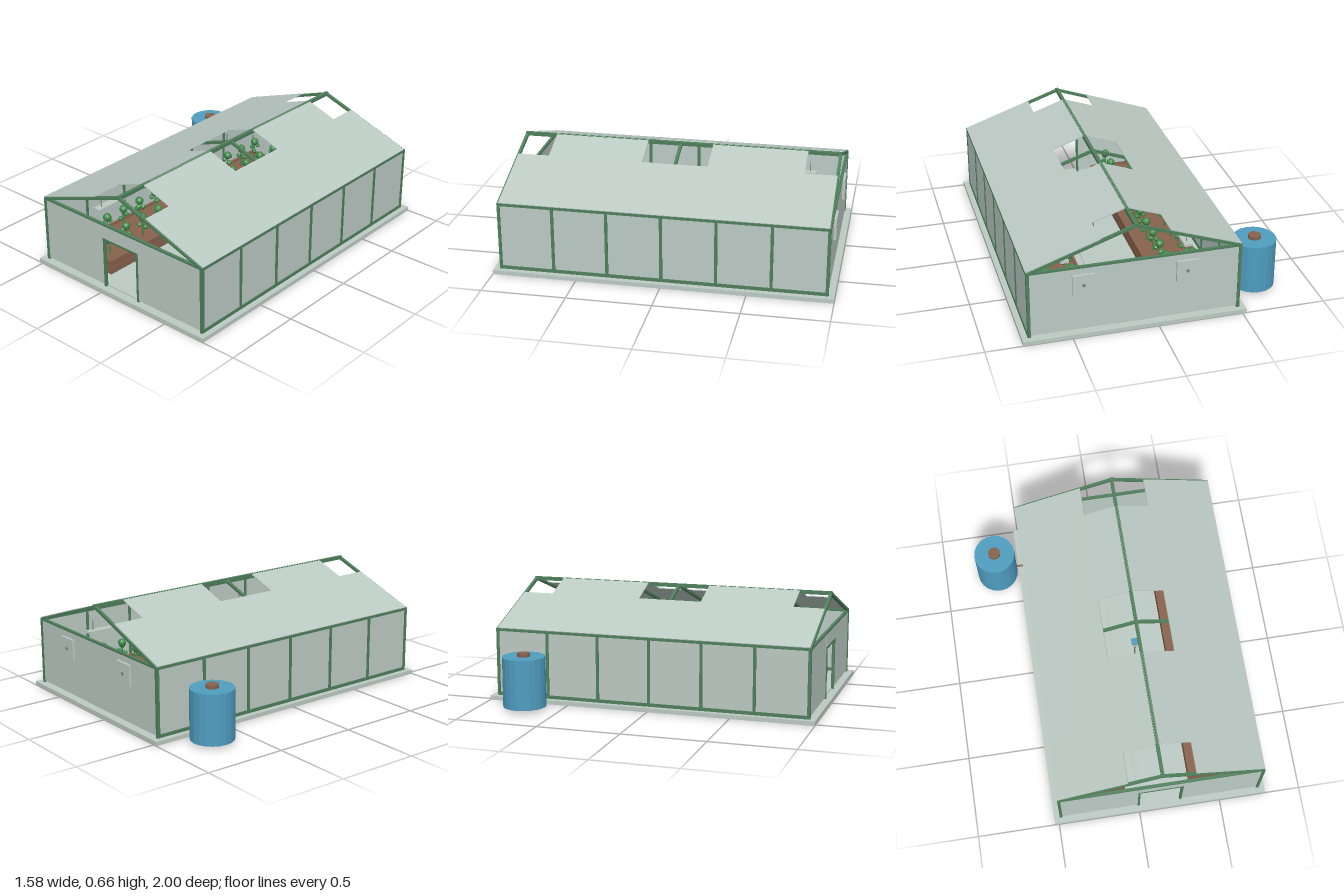
import * as THREE from 'three';

const mat = (name, color, extra = {}) => {
  const m = new THREE.MeshStandardMaterial({ color, ...extra });
  m.name = name;
  return m;
};

export function createModel() {
  const pale = mat('pale glass and concrete', 0xbccac4);
  const green = mat('frame green', 0x4f7f5b);
  const blue = mat('tank blue', 0x4f9dc0, { flatShading: true });
  const brown = mat('earth brown', 0x87624c);
  const leaf = mat('leaf green', 0x3f8a4a, { flatShading: true });
  const grey = mat('metal grey', 0x7d8884);

  const model = new THREE.Group();
  model.name = 'greenhouse';
  const house = new THREE.Group(); // centred on its own ridge line
  house.name = 'house';
  house.position.x = 0.13;
  model.add(house);

  const add = (name, geo, m, x, y, z, parent = house) => {
    const mesh = new THREE.Mesh(geo, m);
    mesh.name = name;
    mesh.position.set(x, y, z);
    parent.add(mesh);
    return mesh;
  };
  // box given by its limits on each axis
  const box = (name, m, x0, x1, y0, y1, z0, z1, parent = house) =>
    add(name, new THREE.BoxGeometry(x1 - x0, y1 - y0, z1 - z0), m,
      (x0 + x1) / 2, (y0 + y1) / 2, (z0 + z1) / 2, parent);

  const W = 0.612, L = 0.957, FLOOR = 0.025, EAVE = 0.433, RIDGE = 0.647, T = 0.009;
  const bays = [-3, -2, -1, 0, 1, 2, 3].map(i => i * L / 3);
  const slope = Math.atan2(RIDGE - EAVE, W);

  // foundation and path
  box('foundation', pale, -0.655, 0.655, 0, FLOOR, -1, 1);
  box('path', pale, -0.125, 0.125, FLOOR, 0.032, -0.95, 0.95);

  // side walls: posts, rails and glass
  for (const s of [-1, 1]) {
    const x = s * W;
    for (const z of bays) box('sidePost', green, x - T, x + T, FLOOR, EAVE, z - T, z + T);
    box('sillRail', green, x - T, x + T, FLOOR, 0.045, -L, L);
    box('eaveRail', green, x - T, x + T, EAVE - 0.009, EAVE + 0.007, -L - T, L + T);
    box('sideGlass', pale, x - 0.004, x + 0.004, 0.04, EAVE, -L, L);
  }

  // end walls: tie beams, back glass, front glass either side of the door
  for (const z of [-L, L]) box('tieBeam', green, -W, W, EAVE - 0.006, EAVE + 0.006, z - T, z + T);
  box('backGlass', pale, -W, W, 0.035, EAVE, -L - 0.004, -L + 0.004);
  for (const s of [-1, 1]) {
    const a = s * 0.13, b = s * W;
    box('frontGlass', pale, Math.min(a, b), Math.max(a, b), 0.035, EAVE, L - 0.004, L + 0.004);
    box('doorPost', green, a - 0.006, a + 0.006, FLOOR, 0.343, L - T, L + T);
  }
  box('doorHeader', green, -0.136, 0.136, 0.333, 0.345, L - T, L + T);
  box('transomGlass', pale, -0.133, 0.133, 0.345, 0.425, L - 0.006, L + 0.006);

  // roof slope pieces are measured from the ridge outwards
  const roofPiece = (name, m, s, d0, d1, lift, thick, z0, z1) => {
    const mid = (d0 + d1) / 2;
    const mesh = add(name, new THREE.BoxGeometry((d1 - d0) / Math.cos(slope), thick, z1 - z0), m,
      s * mid, RIDGE - mid * Math.tan(slope) + lift, (z0 + z1) / 2);
    mesh.rotation.z = -s * slope;
  };
  for (const s of [-1, 1]) {
    for (const z of bays) roofPiece('rafter', green, s, 0, W + 0.006, 0, 0.016, z - T, z + T);
    roofPiece('lowerRoofGlass', pale, s, 0.2, W + 0.008, 0.011, 0.006, -L, L);
    for (const c of [-1, 1]) {
      const z0 = c < 0 ? -0.768 : 0.197;
      roofPiece('upperRoofGlass', pale, s, 0.004, 0.2, 0.011, 0.006, z0, z0 + 0.571);
    }
  }
  box('ridgeBeam', green, -0.01, 0.01, RIDGE - 0.01, RIDGE + 0.012, -L - T, L + T);

  // planting beds with crops and hanging lamps
  const stemGeo = new THREE.CylinderGeometry(0.004, 0.005, 0.12, 6);
  const bigLeaf = new THREE.IcosahedronGeometry(0.026, 1);
  const smallLeaf = new THREE.IcosahedronGeometry(0.016, 0);
  for (const s of [-1, 1]) {
    const bed = new THREE.Group();
    bed.name = 'plantingBed';
    bed.position.x = s * 0.363;
    house.add(bed);
    for (const e of [-1, 1]) {
      for (const y of [FLOOR, 0.07])
        box('bedBoard', brown, e * 0.158 - 0.008, e * 0.158 + 0.008, y, y + 0.042, -0.85, 0.85, bed);
      box('bedEnd', brown, -0.16, 0.16, FLOOR, 0.112, e * 0.842 - 0.008, e * 0.842 + 0.008, bed);
    }
    box('soil', brown, -0.152, 0.152, FLOOR, 0.1, -0.84, 0.84, bed);
    for (let i = 0; i < 12; i++) {
      for (const r of [-1, 1]) {
        const plant = new THREE.Group();
        plant.name = 'plant';
        plant.position.set(r * 0.08, 0.1, -0.77 + i * 0.14);
        plant.rotation.y = i * 1.3 + r;
        bed.add(plant);
        add('stem', stemGeo, leaf, 0, 0.06, 0, plant);
        add('crown', bigLeaf, leaf, 0, 0.13, 0, plant);
        for (let k = 0; k < 3; k++) {
          const a = k * Math.PI * 2 / 3;
          add('leaf', smallLeaf, leaf, 0.022 * Math.cos(a), 0.07 + 0.015 * k, 0.022 * Math.sin(a), plant);
        }
      }
    }
    for (const z of [-0.57, 0.57]) {
      box('growLamp', pale, -0.025, 0.025, 0.365, 0.38, z - 0.22, z + 0.22, bed);
      for (const e of [-0.18, 0.18])
        box('lampHanger', grey, -0.002, 0.002, 0.38, 0.45, z + e - 0.002, z + e + 0.002, bed);
    }
  }

  // climate sensor on a post
  add('sensorPost', new THREE.CylinderGeometry(0.005, 0.005, 0.23, 8), grey, 0, 0.14, 0);
  box('sensorBox', pale, -0.018, 0.018, 0.25, 0.298, -0.015, 0.015);
  box('sensorCap', blue, -0.023, 0.023, 0.298, 0.313, -0.02, 0.02);

  // ventilators on the back wall
  for (const x of [-0.3, 0.3]) {
    box('ventilator', pale, x - 0.064, x + 0.064, 0.26, 0.388, -0.976, -L);
    const hub = add('ventilatorHub', new THREE.CylinderGeometry(0.01, 0.01, 0.008, 12), grey, x, 0.324, -0.978);
    hub.rotation.x = Math.PI / 2;
  }

  // water tank with lid and feed pipe
  const tank = new THREE.Group();
  tank.name = 'waterTank';
  tank.position.set(-0.662, 0, -0.715);
  model.add(tank);
  add('tankBody', new THREE.CylinderGeometry(0.128, 0.128, 0.3, 20), blue, 0, 0.17, 0, tank);
  add('tankLid', new THREE.CylinderGeometry(0.038, 0.038, 0.02, 16), brown, 0, 0.33, 0, tank);
  add('feedPipe', new THREE.CylinderGeometry(0.007, 0.007, 0.08, 8), brown, 0.15, 0.082, 0, tank).rotation.z = Math.PI / 2;

  return model;
}
